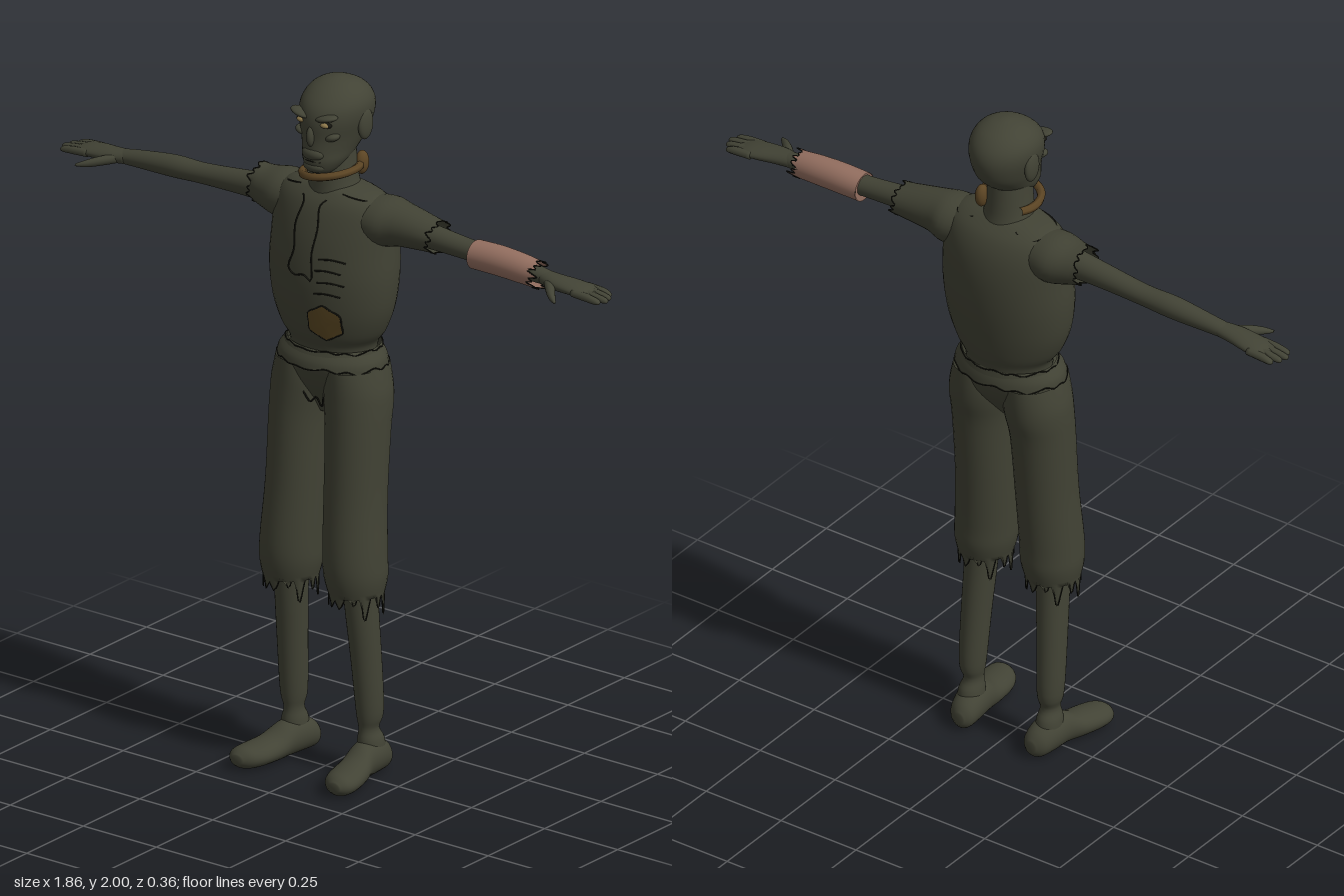
import * as THREE from 'three';

const mat = (name, color, double) => {
  const m = new THREE.MeshStandardMaterial({ color });
  m.name = name;
  if (double) m.side = THREE.DoubleSide;
  return m;
};

// Catmull-Rom refinement of a list of rings
function smooth(rings, n = 4) {
  const out = [], last = rings.length - 1;
  for (let i = 0; i < last; i++) {
    const [a, b, c, d] = [rings[Math.max(i - 1, 0)], rings[i], rings[i + 1], rings[Math.min(i + 2, last)]];
    for (let s = 0; s < n; s++) {
      const t = s / n;
      out.push(b.map((v, k) => v + 0.5 * t * (c[k] - a[k]
        + t * (2 * a[k] - 5 * v + 4 * c[k] - d[k] + t * (3 * (v - c[k]) + d[k] - a[k])))));
    }
  }
  out.push(rings[last]);
  return out;
}

// Elliptical loft along axis 0/1/2; ring = [x, y, z, radius on next axis, radius on the one after].
// jag tears one end: { end: 'first' | 'last', amp }
function loft(axis, raw, { jag, capped = true, seg = 32 } = {}) {
  const rings = smooth(raw), pos = [], idx = [], edge = [];
  const u = (axis + 1) % 3, v = (axis + 2) % 3, n = rings.length;
  rings.forEach((r, i) => {
    const torn = jag && i === (jag.end === 'first' ? 0 : n - 1);
    for (let j = 0; j < seg; j++) {
      const a = j / seg * Math.PI * 2, p = r.slice(0, 3);
      p[u] += r[3] * Math.cos(a);
      p[v] += r[4] * Math.sin(a);
      if (torn) {
        p[axis] += jag.amp * (((j * 7) % 5) / 4 - 0.5) * (j % 3 ? 1 : 0.4);
        edge.push(new THREE.Vector3(...p));
      }
      pos.push(...p);
      if (i < n - 1) {
        const k = (j + 1) % seg, b = i * seg;
        idx.push(b + j, b + k, b + seg + j, b + k, b + seg + k, b + seg + j);
      }
    }
  });
  if (capped) {
    pos.push(...rings[0].slice(0, 3), ...rings[n - 1].slice(0, 3));
    for (let j = 0; j < seg; j++) {
      const k = (j + 1) % seg, b = (n - 1) * seg;
      idx.push(n * seg, k, j, n * seg + 1, b + j, b + k);
    }
  }
  const g = new THREE.BufferGeometry();
  g.setAttribute('position', new THREE.Float32BufferAttribute(pos, 3));
  g.setIndex(idx);
  g.computeVertexNormals();
  g.userData.edge = edge;
  return g;
}

// Mirror rings across x; lofts along x are also reversed
const mirror = (axis, rings, s) => {
  if (s > 0) return rings;
  const m = rings.map(([x, ...rest]) => [-x, ...rest]);
  return axis === 0 ? m.reverse() : m;
};

export function createModel() {
  const root = new THREE.Group();
  root.name = 'raggedFigure';
  const skin = mat('skin', 0x424335);
  const cloth = mat('cloth', 0x414234, true);
  const dark = mat('darkEdge', 0x15150f);
  const bandageMat = mat('bandage', 0x946f60, true);
  const ropeMat = mat('rope', 0x5c4524);
  const woundMat = mat('wound', 0x5a4722, true);
  const eyeMat = mat('eye', 0x8f7a4c);

  const add = (name, geo, m) => {
    const mesh = new THREE.Mesh(geo, m);
    mesh.name = name;
    root.add(mesh);
    return mesh;
  };
  const line = (name, pts, r = 0.0025, closed = false, m = dark) =>
    add(name, new THREE.TubeGeometry(new THREE.CatmullRomCurve3(pts, closed, 'centripetal'), pts.length * 4, r, 6, closed), m);
  const blob = (name, m, x, y, z, rx, ry, rz, tilt = 0) => {
    const b = add(name, new THREE.SphereGeometry(1, 20, 14), m);
    b.position.set(x, y, z);
    b.scale.set(rx, ry, rz);
    b.rotation.z = tilt;
  };
  const torn = (name, axis, rings, jag, m = cloth) => {
    const g = loft(axis, rings, { capped: false, jag });
    add(name, g, m);
    line(name + 'Edge', g.userData.edge, 0.0018, true);
  };
  // y, front z, back z, half width
  const section = ([y, f, b, w]) => [0, y, (f + b) / 2, (f - b) / 2, w];

  // Torso in a torn shirt
  const torso = [
    [1.21, 0.065, -0.14, 0.125], [1.25, 0.068, -0.146, 0.13], [1.29, 0.083, -0.157, 0.158],
    [1.36, 0.096, -0.17, 0.185], [1.45, 0.1, -0.18, 0.197], [1.54, 0.09, -0.181, 0.195],
    [1.61, 0.073, -0.17, 0.192], [1.66, 0.053, -0.147, 0.178], [1.69, 0.03, -0.115, 0.135],
    [1.705, 0.015, -0.09, 0.06],
  ].map(section);
  add('torso', loft(1, torso, { seg: 40 }), cloth);

  // Points on the chest and on top of the shoulders
  const dense = smooth(torso);
  const chest = (x, y, lift = 0.001) => {
    const i = Math.max(1, dense.findIndex(r => r[1] >= y));
    const [a, b] = [dense[i - 1], dense[i]], t = (y - a[1]) / (b[1] - a[1]);
    const [, , cz, rz, rx] = a.map((v, k) => v + (b[k] - v) * t);
    return new THREE.Vector3(x, y, cz + rz * Math.sqrt(Math.max(0, 1 - (x / rx) ** 2)) + lift);
  };
  const shoulder = (x, z) => {
    const r = dense.findLast(([, , cz, rz, rx]) => (x / rx) ** 2 + ((z - cz) / rz) ** 2 < 1);
    return new THREE.Vector3(x, r[1] + 0.002, z);
  };
  line('shirtTear', [[-0.045, 1.675], [-0.035, 1.66], [-0.047, 1.6], [-0.04, 1.53], [-0.055, 1.475], [-0.03, 1.46],
    [0, 1.468], [0.025, 1.455], [0.022, 1.53], [0.03, 1.6], [0.022, 1.66], [0.035, 1.675]].map(p => chest(...p)));
  for (let i = 0; i < 4; i++) {
    const y = 1.42 + i * 0.033, x = 0.035 + (i % 2) * 0.01;
    line('ribCut', [chest(x, y), chest(x + 0.035, y + 0.004), chest(x + 0.075, y - 0.002)]);
  }

  // Open belly wound with dark rim
  const wound = [[0.06, 1.335]], rim = [];
  for (let i = 0; i < 12; i++) {
    const a = i / 12 * Math.PI * 2, r = 0.046 + 0.006 * (i % 2);
    wound.push([0.06 + r * Math.cos(a), 1.335 + r * Math.sin(a)]);
    rim.push(chest(...wound[i + 1], 0.001));
  }
  const woundGeo = new THREE.BufferGeometry().setFromPoints(wound.map(p => chest(...p, 0.003)));
  woundGeo.setIndex(rim.flatMap((_, i) => [0, i + 1, (i + 1) % 12 + 1]));
  woundGeo.computeVertexNormals();
  add('bellyWound', woundGeo, woundMat);
  line('woundRim', rim, 0.0025, true);

  // Neck and head
  add('neck', loft(1, [[1.67, 0.035, -0.12, 0.08], [1.72, 0.032, -0.108, 0.066], [1.82, 0.03, -0.1, 0.058]].map(section)), skin);
  add('head', loft(1, [
    [1.745, 0.045, -0.02, 0.025], [1.757, 0.062, -0.045, 0.042], [1.785, 0.071, -0.085, 0.06], [1.815, 0.07, -0.125, 0.069],
    [1.85, 0.068, -0.156, 0.08], [1.9, 0.069, -0.17, 0.094], [1.94, 0.056, -0.163, 0.094], [1.972, 0.024, -0.137, 0.076],
    [1.992, -0.013, -0.1, 0.045], [2, -0.045, -0.067, 0.01],
  ].map(section)), skin);
  blob('nose', skin, 0, 1.86, 0.064, 0.012, 0.03, 0.017);
  blob('upperLip', skin, 0, 1.808, 0.055, 0.036, 0.02, 0.021);
  blob('chin', skin, 0, 1.77, 0.05, 0.034, 0.018, 0.022);
  line('mouth', [[-0.03, 1.788, 0.06], [0, 1.79, 0.071], [0.03, 1.788, 0.06]].map(p => new THREE.Vector3(...p)), 0.002);
  for (const s of [1, -1]) {
    blob('ear', skin, s * 0.09, 1.88, -0.06, 0.013, 0.045, 0.03);
    blob('brow', skin, s * 0.042, 1.917, 0.05, 0.036, 0.01, 0.024, s * 0.22);
    blob('eyeSocket', dark, s * 0.04, 1.898, 0.05, 0.019, 0.009, 0.012);
    blob('eye', eyeMat, s * 0.04, 1.898, 0.056, 0.014, 0.0075, 0.01);
    blob('cheekbone', skin, s * 0.05, 1.86, 0.035, 0.022, 0.012, 0.021, s * 0.3);
  }

  // Tilted rope around the front of the neck, knotted behind its left side
  const rope = [];
  for (let i = 0; i <= 14; i++) {
    const a = -0.8 + i / 14 * (Math.PI + 1.4), x = 0.074 * Math.cos(a);
    rope.push(new THREE.Vector3(x, 1.74 + x * 0.14, -0.025 + 0.085 * Math.sin(a)));
  }
  line('ropeCollar', rope, 0.012, false, ropeMat);
  blob('ropeKnot', ropeMat, 0.055, 1.75, -0.09, 0.018, 0.034, 0.022);

  // Waist: ragged shirt hem and trouser hips
  torn('shirtHem', 1, [[1.193, 0.094, -0.158, 0.166], [1.215, 0.088, -0.155, 0.16], [1.243, 0.07, -0.147, 0.138]].map(section),
    { end: 'first', amp: 0.014 });
  torn('hemFold', 1, [[1.205, 0.09, -0.156, 0.158], [1.24, 0.075, -0.15, 0.143]].map(section), { end: 'last', amp: 0.01 });
  add('trouserHips', loft(1, [[1.04, 0.01, -0.05, 0.04], [1.08, 0.03, -0.085, 0.1], [1.14, 0.062, -0.128, 0.158],
    [1.2, 0.08, -0.145, 0.16], [1.225, 0.07, -0.14, 0.13]].map(section)), cloth);
  line('trouserFly', [[-0.035, 1.105, 0.055], [-0.018, 1.075, 0.044], [0, 1.092, 0.042], [0.02, 1.07, 0.044], [0.035, 1.105, 0.055]]
    .map(p => new THREE.Vector3(...p)));

  for (const s of [1, -1]) {
    const side = s > 0 ? 'left' : 'right';
    const M = (axis, rings) => mirror(axis, rings, s);

    // Trouser leg with shredded cuff
    torn(side + 'TrouserLeg', 1, M(1, [
      [0.112, 0.535, 0.008, 0.078, 0.074], [0.11, 0.59, 0.008, 0.091, 0.086], [0.107, 0.66, 0.008, 0.093, 0.087],
      [0.1, 0.82, -0.004, 0.092, 0.085], [0.097, 1, -0.018, 0.096, 0.087], [0.092, 1.08, -0.028, 0.103, 0.091],
      [0.088, 1.13, -0.031, 0.105, 0.09], [0.084, 1.19, -0.032, 0.105, 0.078]]), { end: 'first', amp: 0.11 });

    // Shin and foot
    add(side + 'Shin', loft(1, M(1, [
      [0.13, 0.06, -0.035, 0.045, 0.038], [0.13, 0.105, -0.032, 0.042, 0.034], [0.128, 0.14, -0.026, 0.032, 0.026],
      [0.13, 0.19, -0.028, 0.042, 0.036], [0.126, 0.35, -0.016, 0.046, 0.041], [0.12, 0.5, -0.004, 0.05, 0.045],
      [0.115, 0.64, 0, 0.054, 0.05]])), skin);
    add(side + 'Foot', loft(2, M(2, [
      [0.12, 0.04, -0.11, 0.015, 0.018], [0.123, 0.045, -0.09, 0.037, 0.04], [0.128, 0.056, -0.045, 0.046, 0.052],
      [0.133, 0.054, 0.01, 0.044, 0.05], [0.143, 0.041, 0.06, 0.05, 0.038], [0.155, 0.036, 0.12, 0.053, 0.033],
      [0.163, 0.035, 0.16, 0.042, 0.029], [0.167, 0.034, 0.182, 0.018, 0.014]])), skin);

    // Sleeve: the right one is torn off shorter
    const end = s > 0 ? 0.345 : 0.265;
    torn(side + 'Sleeve', 0, M(0, [
      [0.1, 1.62, -0.05, 0.06, 0.075], [0.17, 1.618, -0.055, 0.07, 0.083], [0.23, 1.62, -0.055, 0.06, 0.066],
      [end, s > 0 ? 1.612 : 1.625, -0.055, s > 0 ? 0.044 : 0.056, 0.053]]),
      { end: s > 0 ? 'last' : 'first', amp: 0.025 });
    line(side + 'ShoulderSeam', [[0.07, 0.015], [0.11, 0.008], [0.14, -0.015], [0.145, -0.075], [0.11, -0.11], [0.07, -0.108]]
      .map(([x, z]) => shoulder(s * x, z)));

    // Arm, palm, fingers and thumb
    add(side + 'Arm', loft(0, M(0, [
      [0.18, 1.62, -0.05, 0.044, 0.042], [0.32, 1.612, -0.05, 0.035, 0.035], [0.46, 1.603, -0.052, 0.029, 0.031],
      [0.56, 1.6, -0.052, 0.031, 0.033], [0.68, 1.592, -0.05, 0.024, 0.027], [0.74, 1.587, -0.048, 0.019, 0.025]])), skin);
    add(side + 'Palm', loft(0, M(0, [
      [0.71, 1.589, -0.049, 0.02, 0.025], [0.76, 1.586, -0.046, 0.02, 0.034], [0.81, 1.583, -0.05, 0.018, 0.04],
      [0.85, 1.58, -0.053, 0.014, 0.041], [0.885, 1.577, -0.053, 0.006, 0.036]])), skin);
    [0.912, 0.926, 0.932, 0.922].forEach((tip, i) => {
      const z = -0.085 + i * 0.0215;
      add(side + 'Finger', loft(0, M(0, [
        [0.83, 1.58, z, 0.011, 0.012], [0.88, 1.577, z, 0.011, 0.012], [tip - 0.008, 1.573, z, 0.008, 0.01],
        [tip, 1.572, z, 0.002, 0.003]]), { seg: 10 }), skin);
    });
    add(side + 'Thumb', loft(0, M(0, [
      [0.73, 1.585, -0.035, 0.012, 0.014], [0.765, 1.58, -0.005, 0.014, 0.02], [0.795, 1.574, 0.025, 0.011, 0.014],
      [0.82, 1.57, 0.046, 0.004, 0.005]]), { seg: 14 }), skin);
  }

  // Forearm bandage, frayed at the wrist
  torn('forearmBandage', 0, [[0.475, 1.596, -0.052, 0.041, 0.043], [0.55, 1.597, -0.052, 0.042, 0.043],
    [0.63, 1.594, -0.051, 0.041, 0.041], [0.692, 1.589, -0.05, 0.038, 0.037]], { end: 'last', amp: 0.04 }, bandageMat);
  const disc = add('bandageInnerEnd', new THREE.CircleGeometry(0.041, 28), bandageMat);
  disc.position.set(0.476, 1.596, -0.052);
  disc.rotation.y = -Math.PI / 2;

  return root;
}
